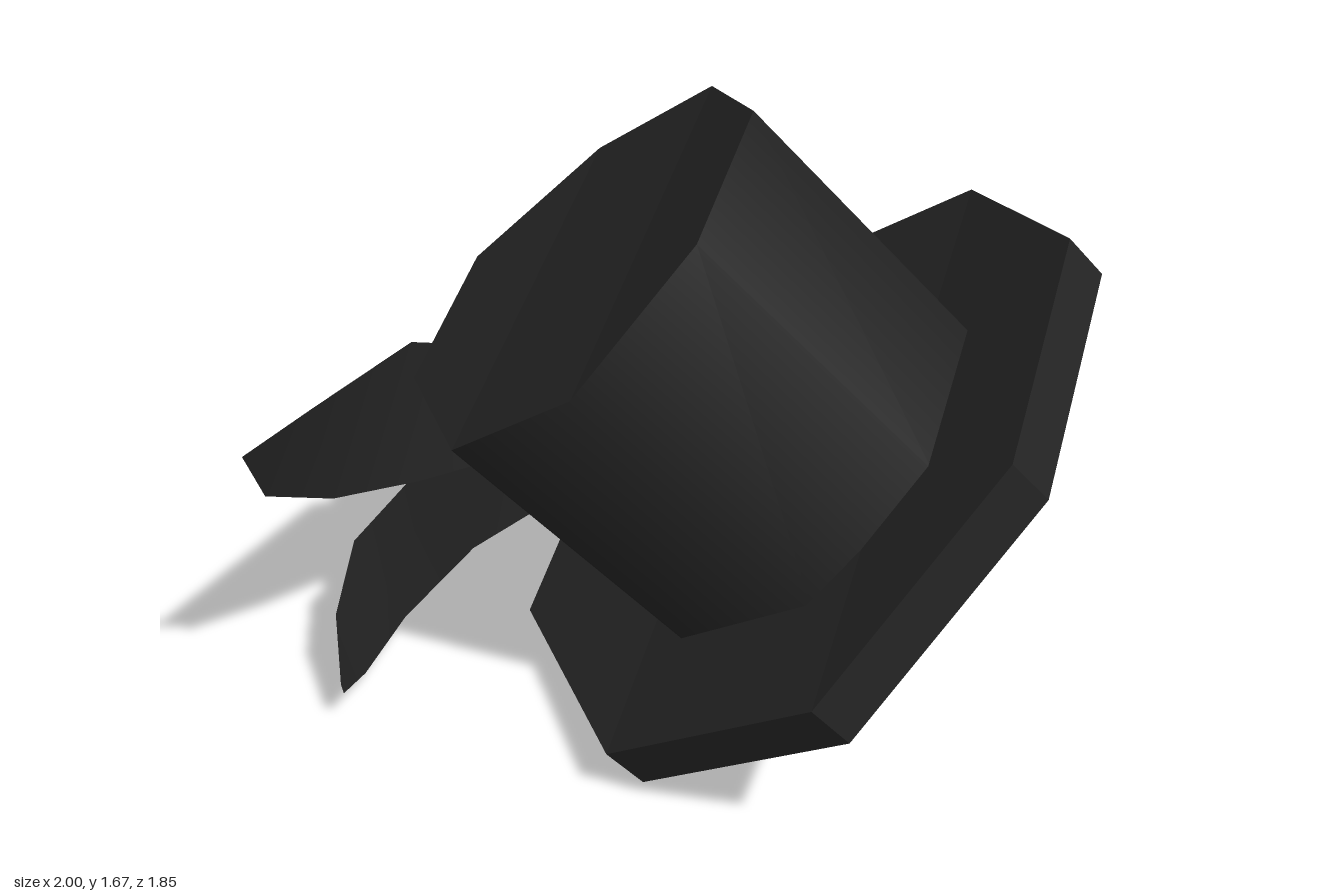
import * as THREE from 'three';

const black = new THREE.MeshStandardMaterial({ color: 0x222222 });
black.name = 'black felt';
const blackThin = black; // feathers share the felt colour
black.side = THREE.DoubleSide;
const red = new THREE.MeshStandardMaterial({ color: 0x8c0c0e, side: THREE.DoubleSide });
red.name = 'red petal';

const SIDES = 8;

function part(name, geometry, material) {
  const mesh = new THREE.Mesh(geometry, material);
  mesh.name = name;
  return mesh;
}

// Height offset that folds an octagon into three flat strips
function fold(x, z, radius, amount) {
  const t = Math.abs(x * Math.cos(Math.PI / 8) + z * Math.sin(Math.PI / 8)) / radius;
  return amount * (2 * Math.max(0, (t - 0.383) / 0.541) - 1);
}

// Open octagonal wall, folded at both rims
function wall(radius, y0, y1, amount) {
  const g = new THREE.CylinderGeometry(radius, radius, y1 - y0, SIDES, 1, true);
  g.translate(0, (y0 + y1) / 2, 0);
  const p = g.attributes.position;
  for (let i = 0; i < p.count; i++) {
    p.setY(i, p.getY(i) + fold(p.getX(i), p.getZ(i), radius, amount));
  }
  return g;
}

// Octagonal cover made of the three strips
function cover(radius, y, amount, facingUp) {
  const points = [];
  for (let i = 0; i < SIDES; i++) {
    const a = (i / SIDES) * Math.PI * 2;
    const x = radius * Math.cos(a), z = radius * Math.sin(a);
    points.push(x, y + fold(x, z, radius, amount), z);
  }
  const index = [0, 1, 2, 0, 2, 7, 7, 2, 3, 7, 3, 6, 6, 3, 4, 6, 4, 5];
  if (facingUp) index.reverse();
  return surface(points, index, true);
}

function surface(points, index, flat) {
  let g = new THREE.BufferGeometry();
  g.setAttribute('position', new THREE.Float32BufferAttribute(points, 3));
  g.setIndex(index);
  if (flat) g = g.toNonIndexed();
  g.computeVertexNormals();
  return g;
}

// Sheet joining equal rows of points
function sheet(rows) {
  const n = rows[0].length, index = [];
  for (let r = 0; r < rows.length - 1; r++) {
    for (let c = 0; c < n - 1; c++) {
      const a = r * n + c;
      index.push(a, a + n, a + 1, a + 1, a + n, a + n + 1);
    }
  }
  return surface(rows.flat(2), index, false);
}

function orient(group, x, y, z, origin) {
  group.quaternion.setFromRotationMatrix(new THREE.Matrix4().makeBasis(x, y, z));
  group.position.copy(origin);
}

export function createModel() {
  const model = new THREE.Group();
  model.name = 'tilted hat';

  // Hat: brim and crown along one leaning axis
  const hat = new THREE.Group();
  hat.name = 'hat';
  const R = 0.925, r = 0.577;
  const rim = wall(R, 0, 0.135, 0.04).toNonIndexed();
  rim.computeVertexNormals();
  hat.add(
    part('brimEdge', rim, black),
    part('brimUnderside', cover(R, 0, 0.04, false), black),
    part('brimTop', cover(R, 0.135, 0.04, true), black),
    part('crownWall', wall(r, 0.09, 0.924, 0.02), black),
    part('crownTop', cover(r, 0.924, 0.02, true), black)
  );
  const axis = new THREE.Vector3(-0.658, 0.741, 0.138).normalize();
  const across = new THREE.Vector3(0.749, 0.663, 0.01);
  const side = new THREE.Vector3().crossVectors(across, axis).normalize();
  across.crossVectors(axis, side);
  orient(hat, across, axis, side, new THREE.Vector3(0.33, 0.585, 0));
  model.add(hat);

  // Two curved feathers, as rows of upper and lower edge points
  const upper = [
    [[-1, 0.97, 0.65], [-1, 0.79, 0.54]],
    [[-0.91, 0.95, 0.38], [-0.91, 0.64, 0.31]],
    [[-0.77, 0.91, -0.05], [-0.76, 0.53, 0.04]],
    [[-0.62, 0.84, -0.18], [-0.55, 0.49, -0.18]],
    [[-0.38, 0.74, -0.36], [-0.36, 0.54, -0.32]],
  ];
  const lower = [
    [[-0.9, 0.15, 0.45], [-0.895, 0.12, 0.45]],
    [[-0.94, 0.27, 0.31], [-0.88, 0.07, 0.3]],
    [[-0.92, 0.4, 0.15], [-0.82, 0.1, 0.08]],
    [[-0.77, 0.53, -0.02], [-0.67, 0.18, -0.16]],
    [[-0.55, 0.6, -0.2], [-0.41, 0.34, -0.23]],
    [[-0.36, 0.66, -0.34], [-0.28, 0.42, -0.3]],
  ];
  model.add(part('upperFeather', sheet(upper), blackThin));
  model.add(part('lowerFeather', sheet(lower), blackThin));

  // Flower: five cupped petals round a dark centre
  const flower = new THREE.Group();
  flower.name = 'flower';
  const profile = [[0.07, 0.045, 0.02], [0.26, 0.13, 0.07], [0.37, 0.085, 0.1]];
  const petal = sheet(profile.map(([d, half, lift]) => [
    [-half, -d, lift], [0, -d, lift - 0.015], [half, -d, lift],
  ]));
  for (let i = 0; i < 5; i++) {
    const mesh = part('petal', petal, red);
    mesh.rotation.z = (i / 5) * Math.PI * 2;
    flower.add(mesh);
  }
  flower.add(part('flowerCentre', new THREE.SphereGeometry(0.085, 6, 4), black));
  const facing = new THREE.Vector3(-0.42, -0.1, -0.9).normalize();
  const right = new THREE.Vector3(0, 1, 0).cross(facing).normalize();
  const up = new THREE.Vector3().crossVectors(facing, right);
  orient(flower, right, up, facing, new THREE.Vector3(-0.35, 0.73, -0.36));
  model.add(flower);

  return model;
}
